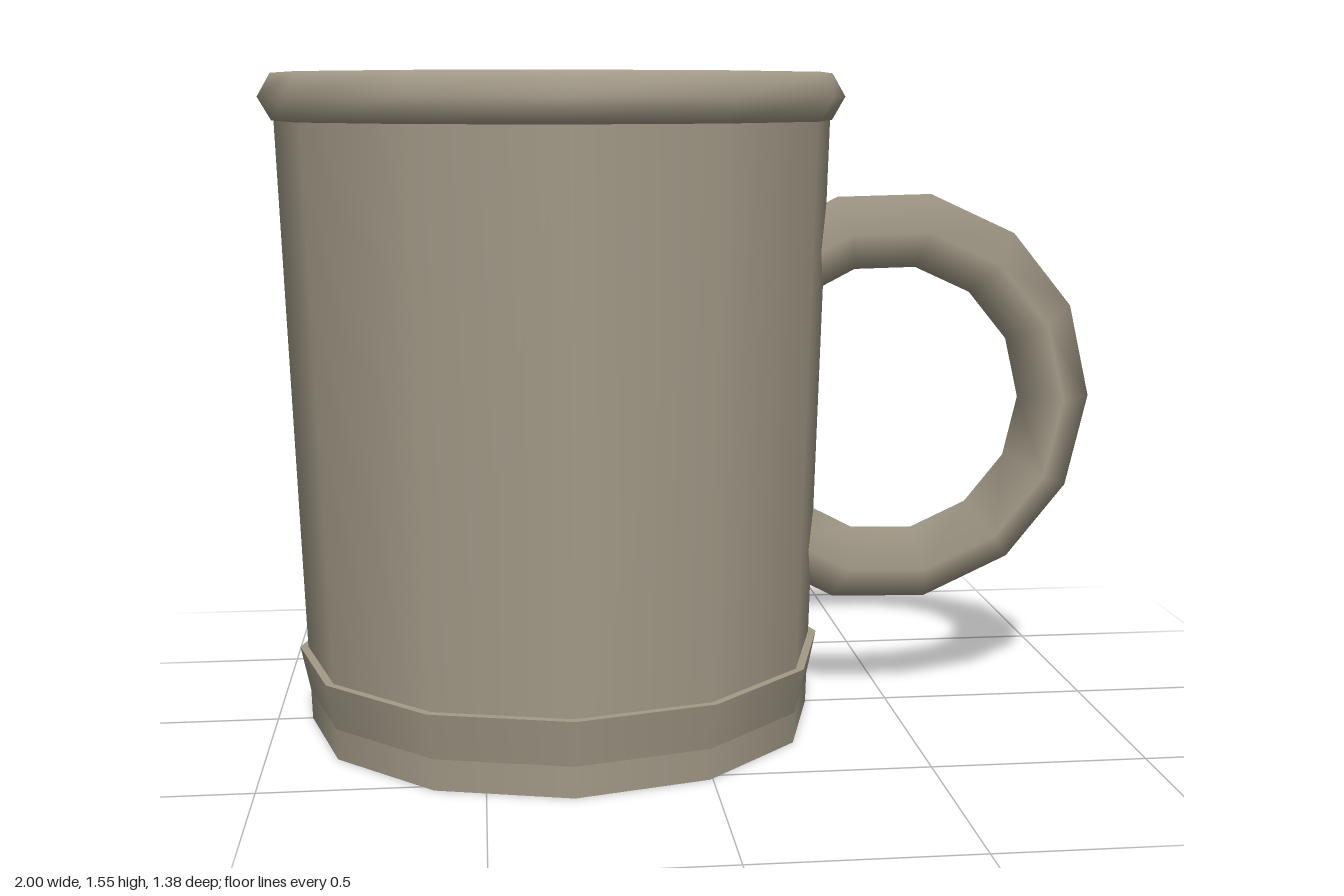
import * as THREE from 'three';

const SIDES = 12;
const AXIS_X = -0.31; // the cup sits left of centre to leave room for the handle

export function createModel() {
  const mug = new THREE.Group();
  mug.name = 'mug';

  const clay = new THREE.MeshStandardMaterial({ color: 0xa39a88, side: THREE.DoubleSide });
  const dark = new THREE.MeshStandardMaterial({ color: 0x1d1b18, side: THREE.DoubleSide });
  const brown = new THREE.MeshStandardMaterial({ color: 0x3e2c22 });

  const add = (name, geometry, material, x, y) => {
    const mesh = new THREE.Mesh(geometry, material);
    mesh.name = name;
    mesh.position.set(x, y, 0);
    mug.add(mesh);
  };
  // Tapered tube standing between two heights
  const tube = (name, rTop, rBottom, y0, y1, material, open = true) =>
    add(name, new THREE.CylinderGeometry(rTop, rBottom, y1 - y0, SIDES, 1, open),
      material, AXIS_X, (y0 + y1) / 2);

  // Cup walls and underside
  tube('outerWall', 0.655, 0.607, 0, 1.49, clay);
  tube('innerWall', 0.55, 0.49, 0.1, 1.49, dark);
  add('underside', new THREE.CircleGeometry(0.607, SIDES).rotateX(Math.PI / 2), clay, AXIS_X, 0);

  // Flared band around the foot
  tube('baseBand', 0.632, 0.595, 0.004, 0.18, clay, false);

  // Lip: flat ledge under a six-sided ring
  add('lipLedge', new THREE.RingGeometry(0.55, 0.655, SIDES).rotateX(-Math.PI / 2), clay, AXIS_X, 1.49);
  add('rim', new THREE.TorusGeometry(0.627, 0.063, 6, SIDES).rotateX(Math.PI / 2), clay, AXIS_X, 1.495);

  // Drink surface
  add('drink', new THREE.CircleGeometry(0.534, SIDES).rotateX(-Math.PI / 2), brown, AXIS_X, 1.15);

  // Handle: four-sided arc running into the wall at both ends
  const arc = Math.PI * 1.45;
  add('handle', new THREE.TorusGeometry(0.42, 0.09, 4, 10, arc).rotateZ(-arc / 2), clay, 0.49, 0.763);

  return mug;
}
